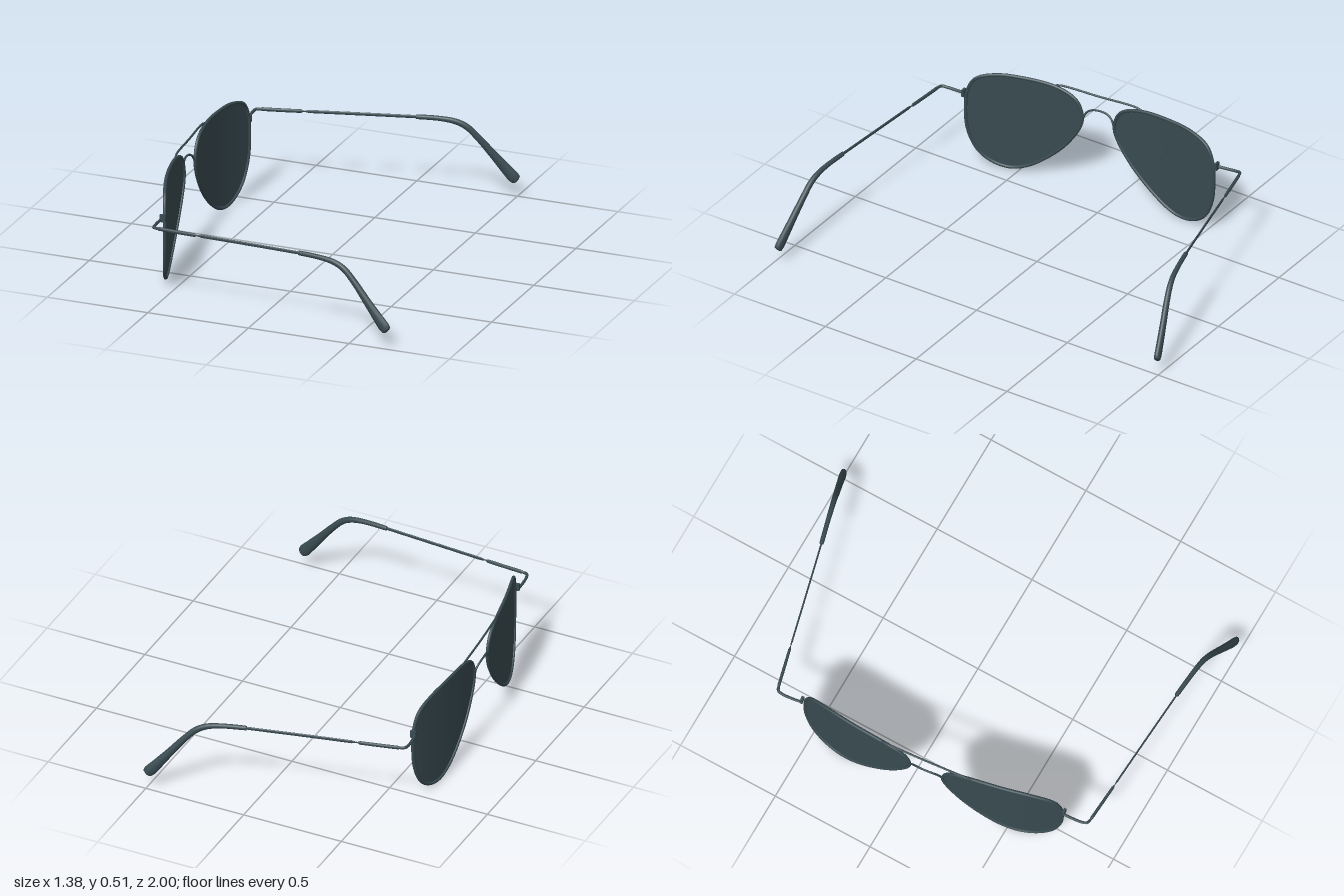
import * as THREE from 'three';

const frameMat = new THREE.MeshStandardMaterial({ color: 0x384a50 });
frameMat.name = 'dark slate';
frameMat.side = THREE.DoubleSide;

const V = (x, y, z) => new THREE.Vector3(x, y, z);

// Wrap of the front: depth grows towards the outer edges.
const wrap = (u) => 0.002 + 0.25 * Math.pow(Math.abs(u), 2.5);

// Teardrop lens outline (sideways distance from the bridge, height).
const OUTLINE = [
  [0.075, 0.37], [0.097, 0.44], [0.135, 0.475], [0.22, 0.503], [0.37, 0.512],
  [0.515, 0.502], [0.61, 0.465], [0.645, 0.40], [0.655, 0.31], [0.645, 0.18],
  [0.60, 0.075], [0.53, 0.018], [0.45, 0.0], [0.375, 0.018], [0.29, 0.07],
  [0.19, 0.16], [0.125, 0.245], [0.085, 0.32],
];
const CENTRE = [0.39, 0.28];
const RIM = 0.008;

function mesh(name, geometry) {
  const m = new THREE.Mesh(geometry, frameMat);
  m.name = name;
  return m;
}

function tube(name, points, radius, segments, closed = false) {
  const curve = new THREE.CatmullRomCurve3(points, closed);
  return mesh(name, new THREE.TubeGeometry(curve, segments, radius, 8, closed));
}

function surface(positions, index) {
  const g = new THREE.BufferGeometry();
  g.setAttribute('position', new THREE.Float32BufferAttribute(positions, 3));
  g.setIndex(index);
  g.computeVertexNormals();
  return g;
}

// Sweep of elliptical sections; stations are [x, y, z, half height, half width].
function loft(name, stations, samples, sides = 14) {
  const path = new THREE.CatmullRomCurve3(stations.map((s) => V(s[0], s[1], s[2])));
  const size = new THREE.CatmullRomCurve3(stations.map((s) => V(s[3], s[4], s[0])));
  const pos = [], idx = [];
  for (let i = 0; i <= samples; i++) {
    const t = i / samples;
    const p = path.getPoint(t), r = size.getPoint(t);
    const tangent = path.getTangent(t);
    const side = V(0, 1, 0).cross(tangent).negate().normalize();
    const up = side.clone().cross(tangent);
    const end = i === 0 || i === samples ? 0 : 1;
    for (let j = 0; j < sides; j++) {
      const a = (j / sides) * Math.PI * 2;
      const q = p.clone()
        .addScaledVector(up, Math.cos(a) * r.x * end)
        .addScaledVector(side, Math.sin(a) * r.y * end);
      pos.push(q.x, q.y, q.z);
      if (i < samples) {
        const b = i * sides + j, c = i * sides + ((j + 1) % sides);
        idx.push(b, c, b + sides, c, c + sides, b + sides);
      }
    }
  }
  return mesh(name, surface(pos, idx));
}

// Rim centre line, pulled in so the rim's outside meets the outline.
function rimPoints(s) {
  const curve = new THREE.CatmullRomCurve3(OUTLINE.map(([u, y]) => V(u, y, 0)), true);
  return curve.getSpacedPoints(72).slice(0, 72).map((p) => {
    const dx = CENTRE[0] - p.x, dy = CENTRE[1] - p.y, l = Math.hypot(dx, dy);
    const u = p.x + (dx / l) * RIM, y = p.y + (dy / l) * RIM;
    return V(wrap(u), y, u * s);
  });
}

// Curved lens made of concentric rings.
function lens(s) {
  const edge = rimPoints(s), n = edge.length, rings = 8;
  const pos = [], idx = [];
  for (let k = 0; k <= rings; k++) {
    edge.forEach((p, j) => {
      const f = k / rings;
      const u = CENTRE[0] + (Math.abs(p.z) - CENTRE[0]) * f;
      pos.push(wrap(u), CENTRE[1] + (p.y - CENTRE[1]) * f, u * s);
      if (k < rings) {
        const a = k * n + j, b = k * n + ((j + 1) % n);
        if (s > 0) idx.push(a, a + n, b, b, a + n, b + n);
        else idx.push(a, b, a + n, b, b + n, a + n);
      }
    });
  }
  return mesh('lens', surface(pos, idx));
}

function sideParts(s) {
  const g = new THREE.Group();
  g.name = s > 0 ? 'leftwardHalf' : 'rightwardHalf';
  g.add(lens(s));
  g.add(tube('rim', rimPoints(s), RIM, 120, true));

  // Hinge block and the wire turning the corner into the temple
  const block = mesh('hingeBlock', new THREE.BoxGeometry(0.026, 0.036, 0.012));
  block.position.set(0.08, 0.372, 0.66 * s);
  g.add(block);
  g.add(tube('endPiece', [
    V(0.072, 0.365, 0.66 * s), V(0.069, 0.365, 0.71 * s), V(0.07, 0.367, 0.755 * s),
    V(0.076, 0.37, 0.777 * s), V(0.094, 0.37, 0.785 * s),
  ], 0.007, 24));

  // Temple: sturdier front sleeve, then a slim wire
  g.add(loft('templeSleeve', [
    [0.085, 0.37, 0.784 * s, 0.009, 0.007], [0.19, 0.37, 0.8 * s, 0.009, 0.007],
    [0.30, 0.371, 0.817 * s, 0.009, 0.006],
  ], 12));
  g.add(loft('templeWire', [
    [0.28, 0.371, 0.814 * s, 0.008, 0.004], [0.56, 0.374, 0.856 * s, 0.008, 0.004],
    [0.84, 0.376, 0.899 * s, 0.008, 0.004],
  ], 14));

  // Ear tip bending down and flaring
  g.add(loft('earTip', [
    [0.808, 0.376, 0.894 * s, 0.010, 0.009], [0.815, 0.376, 0.895 * s, 0.011, 0.010],
    [0.92, 0.373, 0.913 * s, 0.012, 0.011], [0.99, 0.362, 0.925 * s, 0.014, 0.012],
    [1.04, 0.338, 0.935 * s, 0.015, 0.013], [1.09, 0.288, 0.946 * s, 0.016, 0.014],
    [1.16, 0.203, 0.964 * s, 0.020, 0.015], [1.22, 0.13, 0.979 * s, 0.026, 0.016],
    [1.25, 0.095, 0.986 * s, 0.028, 0.016], [1.262, 0.082, 0.989 * s, 0.022, 0.014],
    [1.265, 0.079, 0.99 * s, 0.012, 0.008],
  ], 60));
  return g;
}

export function createModel() {
  const model = new THREE.Group();
  model.name = 'sunglasses';

  // The pair is turned slightly about the vertical axis
  const body = new THREE.Group();
  body.name = 'glasses';
  body.rotation.y = 0.091;
  body.position.set(-0.669, 0, 0.106);
  for (const s of [1, -1]) body.add(sideParts(s));

  // Straight brow bar and arched nose bridge
  body.add(tube('browBar', [
    V(0.006, 0.498, -0.23), V(0.002, 0.506, -0.2), V(0, 0.505, 0),
    V(0.002, 0.506, 0.2), V(0.006, 0.498, 0.23),
  ], 0.005, 32));
  body.add(tube('noseBridge', [
    V(0.002, 0.365, -0.08), V(-0.004, 0.395, -0.066), V(-0.011, 0.412, -0.04),
    V(-0.014, 0.417, 0),
    V(-0.011, 0.412, 0.04), V(-0.004, 0.395, 0.066), V(0.002, 0.365, 0.08),
  ], 0.005, 32));

  model.add(body);
  return model;
}
